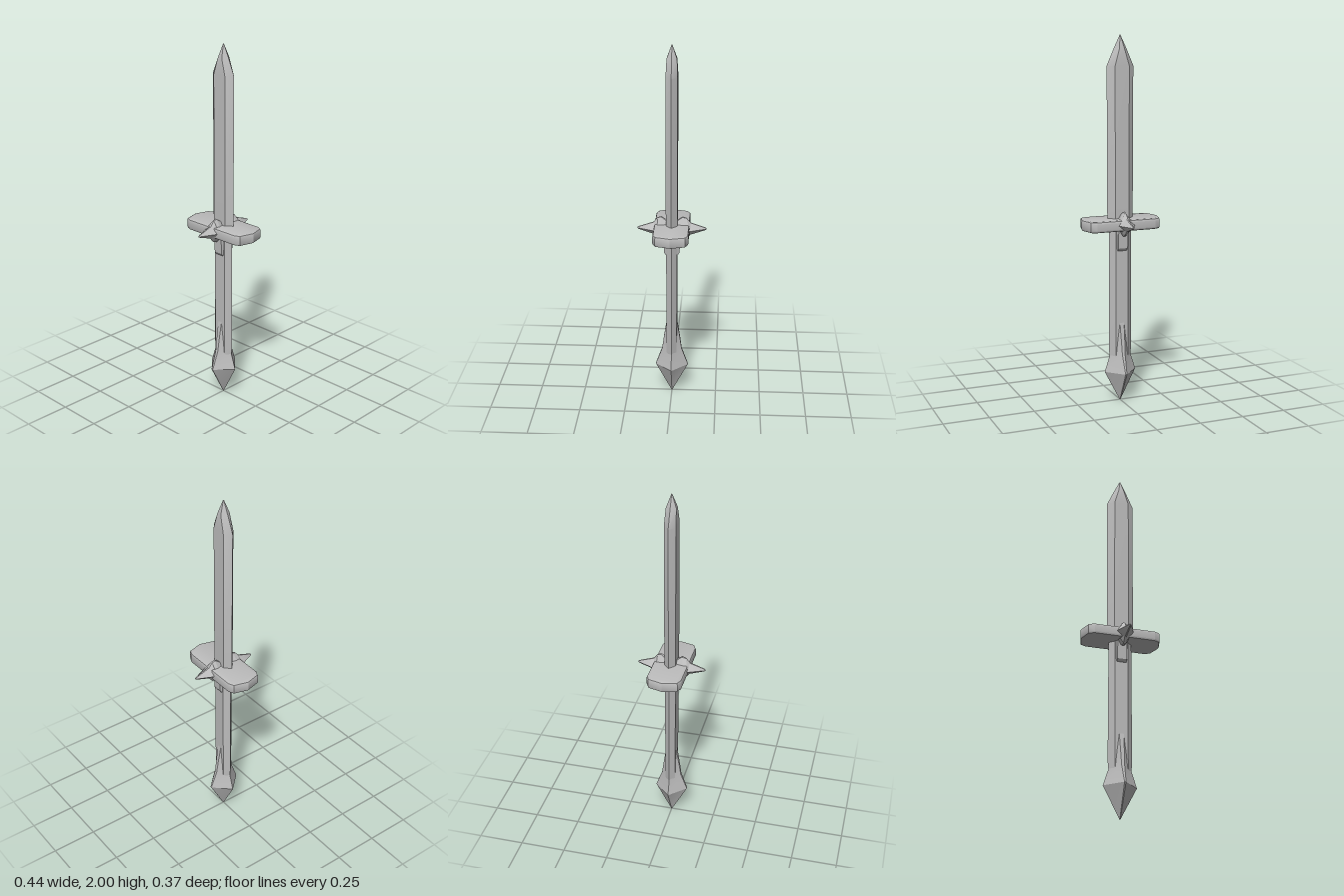
import * as THREE from 'three';
import { toCreasedNormals } from 'three/addons/utils/BufferGeometryUtils.js';

// Lofts six-sided rings along y. Each ring: [y, half width x, half depth z, half width of flat face]
function loft(rings) {
  const pos = [], index = [], n = 6;
  for (const [y, rx, rz, f] of rings) {
    pos.push(rx, y, 0, f, y, rz, -f, y, rz, -rx, y, 0, -f, y, -rz, f, y, -rz);
  }
  for (let r = 0; r < rings.length - 1; r++) {
    for (let i = 0; i < n; i++) {
      const a = r * n + i, b = r * n + (i + 1) % n;
      index.push(a, a + n, b, b, a + n, b + n);
    }
  }
  // end caps
  const top = (rings.length - 1) * n;
  for (let i = 1; i < n - 1; i++) {
    index.push(0, i, i + 1);
    index.push(top, top + i + 1, top + i);
  }
  const g = new THREE.BufferGeometry();
  g.setAttribute('position', new THREE.Float32BufferAttribute(pos, 3));
  g.setIndex(index);
  return toCreasedNormals(g, 0.35);
}

export function createModel() {
  const model = new THREE.Group();
  const steel = new THREE.MeshStandardMaterial({ color: 0xbcbcbc });
  steel.name = 'grey steel';

  const add = (name, geometry) => {
    const mesh = new THREE.Mesh(geometry, steel);
    mesh.name = name;
    model.add(mesh);
    return mesh;
  };

  // blade with pointed tip
  add('blade', loft([
    [1.0, 0.074, 0.031, 0.04],
    [1.84, 0.076, 0.031, 0.04],
    [1.93, 0.036, 0.027, 0.014],
    [2.0, 0.002, 0.002, 0.001],
  ]));

  // grip
  add('grip', loft([
    [0.24, 0.06, 0.028, 0.036],
    [0.3, 0.066, 0.028, 0.036],
    [1.0, 0.064, 0.03, 0.036],
  ]));

  // raised collar under the guard
  add('collar', loft([
    [0.85, 0.035, 0.03, 0.026],
    [0.865, 0.04, 0.041, 0.026],
    [0.98, 0.045, 0.047, 0.026],
  ]));

  // diamond pommel with ridges running up the grip
  add('pommel', loft([
    [0, 0.002, 0.002, 0.001],
    [0.17, 0.091, 0.091, 0.004],
    [0.27, 0.058, 0.055, 0.008],
    [0.35, 0.05, 0.044, 0.01],
    [0.45, 0.035, 0.028, 0.012],
  ]));

  // crossguard: clipped plate with bevelled rims
  const outline = [[0.21, 0], [0.19, 0.072], [0.166, 0.084]];
  const right = [...outline.slice(1).reverse().map(([x, z]) => [x, -z]), ...outline];
  const corners = [...right, ...right.map(([x, z]) => [-x, -z])];
  const plate = new THREE.ExtrudeGeometry(
    new THREE.Shape(corners.map(([x, z]) => new THREE.Vector2(x, z))),
    { depth: 0.036, bevelEnabled: true, bevelThickness: 0.012, bevelSize: 0.011, bevelSegments: 2 });
  plate.rotateX(-Math.PI / 2).translate(0, 0.98, 0);
  add('crossguard', toCreasedNormals(plate, 0.5));

  // spiked bosses on the front and back of the guard
  const spike = loft([
    [0.02, 0.034, 0.04, 0.012],
    [0.058, 0.044, 0.066, 0.006],
    [0.078, 0.047, 0.06, 0.004],
    [0.1, 0.044, 0.034, 0.004],
    [0.18, 0.008, 0.007, 0.003],
    [0.187, 0.003, 0.003, 0.001],
  ]);
  for (const side of [1, -1]) {
    const mesh = add(side > 0 ? 'frontSpike' : 'backSpike', spike);
    mesh.position.y = 1;
    mesh.rotation.x = side * Math.PI / 2;
  }

  return model;
}
